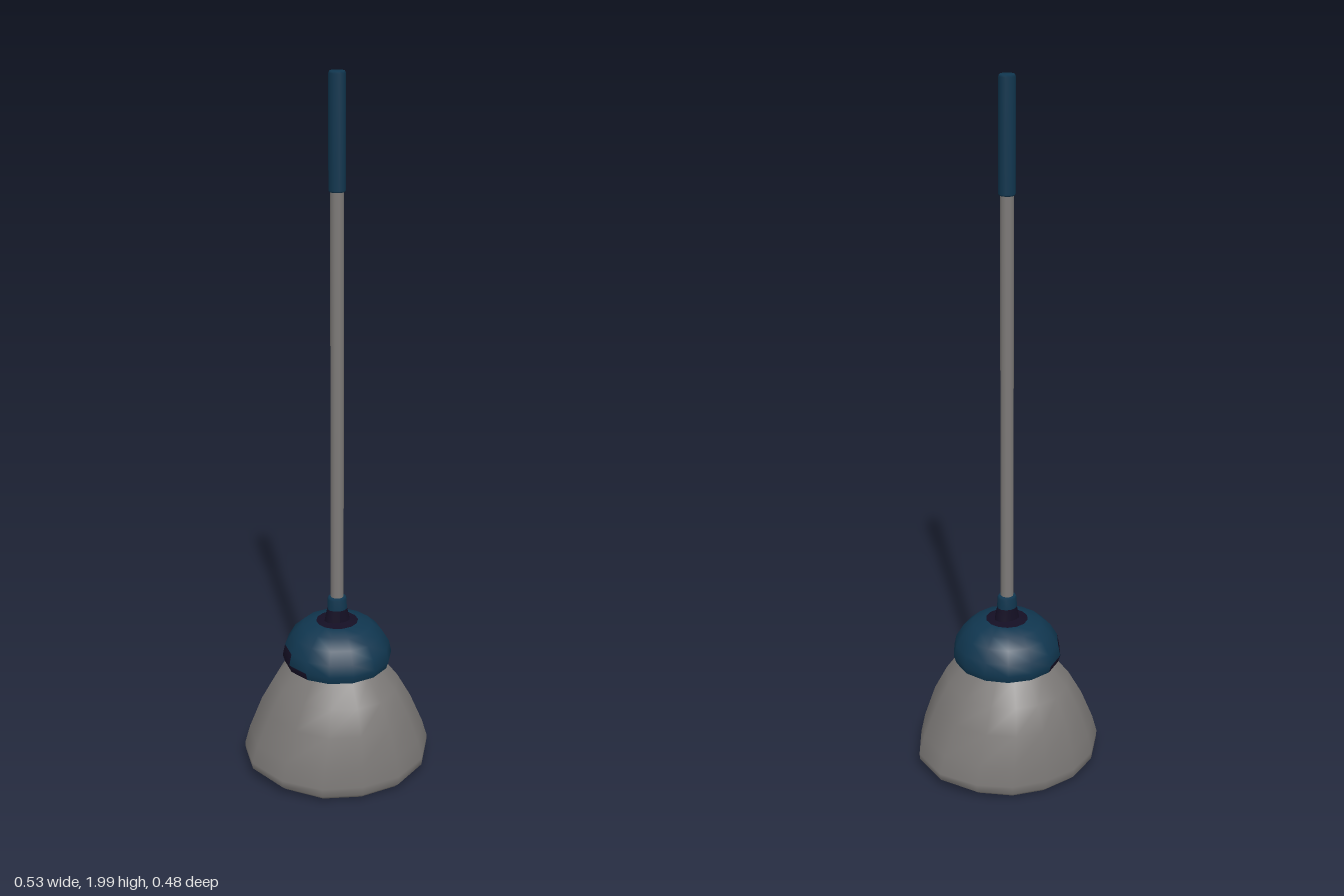
import * as THREE from 'three';

const material = (name, color) => {
  const m = new THREE.MeshStandardMaterial({ color });
  m.name = name;
  return m;
};

export function createModel() {
  const grey = material('grey', 0x7d7a78);
  const blue = material('navy blue', 0x10364f);
  const dark = material('dark violet', 0x140f24);
  const model = new THREE.Group();
  model.name = 'mop';

  const add = (name, geometry, mat, y = 0) => {
    const mesh = new THREE.Mesh(geometry, mat);
    mesh.name = name;
    mesh.position.y = y;
    model.add(mesh);
    return mesh;
  };
  const lathe = (points, sides) =>
    new THREE.LatheGeometry(points.map(([r, y]) => new THREE.Vector2(r, y)), sides);

  // Mop head: one irregular 14-sided outline, scaled ring by ring
  const half = [[0, -1], [0.37, -0.94], [0.7, -0.73], [0.963, -0.35],
    [1, 0.157], [0.785, 0.63], [0.426, 0.92], [0, 1]];
  const outline = [...half, ...half.slice(1, -1).reverse().map(([x, z]) => [-x, z])];
  // height, half width, half depth, how far the front and back edges dip
  const rings = [
    [0.028, 0, 0, 0], [0.028, 0.2, 0.185, 0.012], [0.028, 0.25, 0.228, 0.018],
    [0.04, 0.266, 0.242, 0.016], [0.058, 0.267, 0.242, 0.01], [0.11, 0.251, 0.239, 0],
    [0.2, 0.213, 0.224, 0], [0.27, 0.174, 0.193, 0], [0.33, 0.122, 0.142, 0],
    [0.36, 0.09, 0.1, 0], [0.36, 0, 0, 0]
  ];
  const n = outline.length;
  const positions = [];
  const index = [];
  rings.forEach(([y, w, d, dip], r) => {
    outline.forEach(([x, z], i) => {
      positions.push(x * w, y - dip * z * z, z * d);
      if (r === rings.length - 1) return;
      const a = r * n + i;
      const b = r * n + (i + 1) % n;
      index.push(a, a + n, b, b, a + n, b + n);
    });
  });
  const head = new THREE.BufferGeometry();
  head.setAttribute('position', new THREE.Float32BufferAttribute(positions, 3));
  head.setIndex(index);
  head.computeVertexNormals();
  add('mopHead', head, grey);

  // Domed cap with a dark collar on top and a dark patch low on its right side
  const capProfile = [[0.15, 0.33], [0.157, 0.352], [0.15, 0.385], [0.129, 0.42],
    [0.1, 0.446], [0.06, 0.457], [0, 0.461]];
  const cap = lathe(capProfile, 14);
  const bands = capProfile.length - 1;
  const patchBands = { 8: 1, 9: 2, 10: 2, 11: 1 };
  cap.clearGroups();
  for (let side = 0; side < 14; side++) {
    for (let band = 0; band < bands; band++) {
      const isDark = band === bands - 1 || band < (patchBands[side] ?? 0);
      cap.addGroup(6 * (side * bands + band), 6, isDark ? 1 : 0);
    }
  }
  add('cap', cap, [blue, dark]);
  add('capUnderside', lathe([[0, 0.335], [0.15, 0.33]], 14), dark);

  // Neck, flared sideways at its foot
  const neckBase = add('neckBase', lathe([[0.027, 0.452], [0.026, 0.495]], 12), dark);
  const p = neckBase.geometry.attributes.position;
  for (let i = 0; i < p.count; i++) {
    p.setX(i, p.getX(i) * (p.getY(i) < 0.47 ? 1.45 : 1.12));
  }
  neckBase.geometry.computeVertexNormals();
  const neck = add('neck', lathe([[0.026, 0.495], [0.025, 0.525], [0.022, 0.532], [0, 0.532]], 12), blue);
  neck.scale.x = 1.12;

  // Pole and grip
  add('pole', new THREE.CylinderGeometry(0.0185, 0.0185, 1.19, 10), grey, 1.115);
  add('grip', lathe([[0, 1.69], [0.021, 1.69], [0.023, 1.694], [0.023, 1.994],
    [0.02, 2], [0, 2]], 10), blue);

  return model;
}
